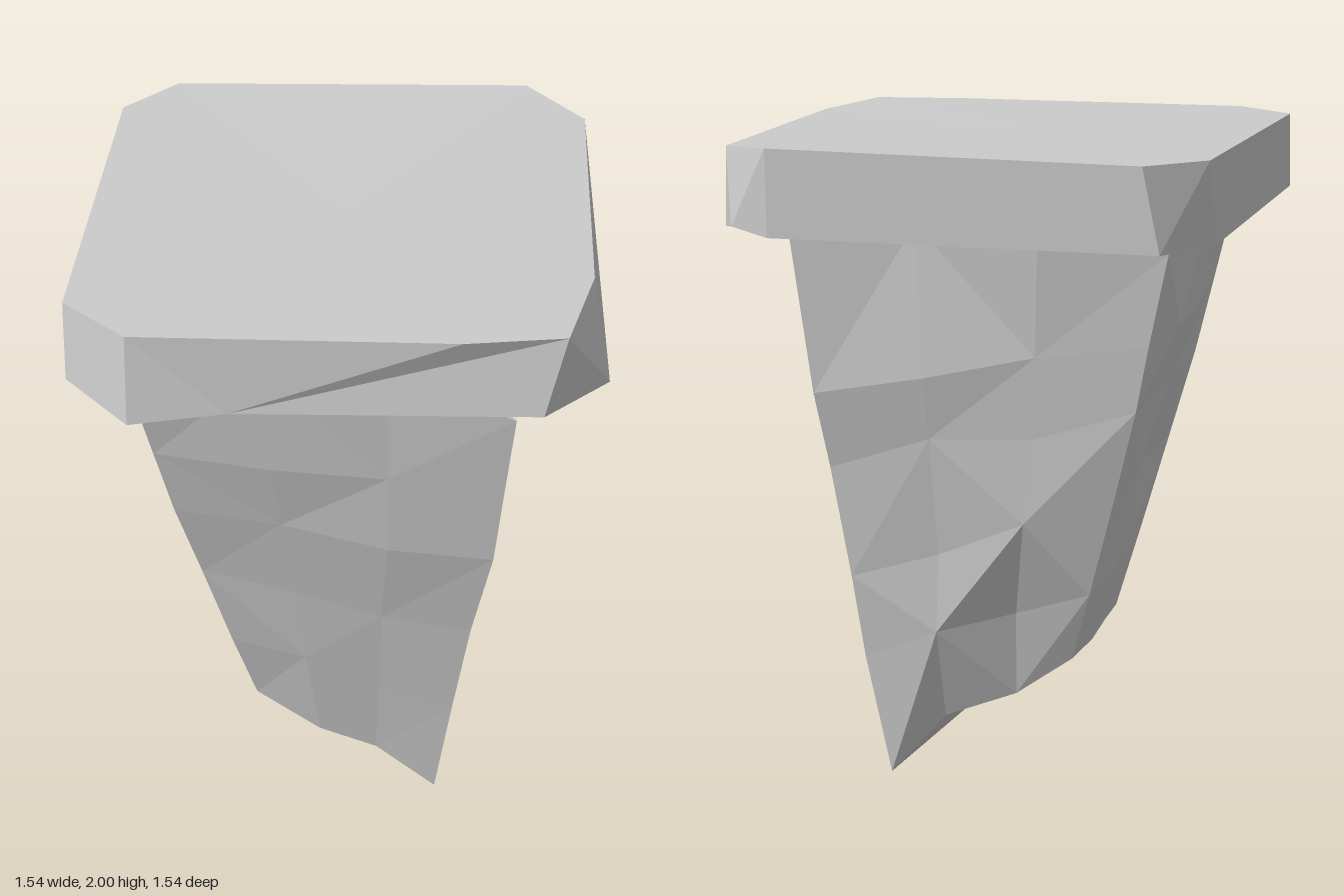
import * as THREE from 'three';

const material = new THREE.MeshStandardMaterial({ color: 0xcccccc, flatShading: true });

// Joins equal-length rings (bottom to top) and closes both ends around a centre point
function loft(rings, bottomCentre, topCentre) {
  const n = rings[0].length, pos = [], tri = (...pts) => pts.forEach(p => pos.push(...p));
  const last = rings[rings.length - 1];
  for (let i = 0; i < n; i++) {
    const j = (i + 1) % n;
    for (let r = 0; r < rings.length - 1; r++) {
      const a = rings[r][i], b = rings[r][j], c = rings[r + 1][j], d = rings[r + 1][i];
      // alternate the diagonal for irregular rock facets
      if ((i + r) % 2) { tri(a, b, c); tri(a, c, d); }
      else { tri(a, b, d); tri(b, c, d); }
    }
    tri(bottomCentre, rings[0][j], rings[0][i]);
    tri(topCentre, last[i], last[j]);
  }
  const geo = new THREE.BufferGeometry();
  geo.setAttribute('position', new THREE.Float32BufferAttribute(pos, 3));
  geo.computeVertexNormals();
  return geo;
}

function makeMesh(name, geo) {
  const mesh = new THREE.Mesh(geo, material);
  mesh.name = name;
  return mesh;
}

// Slab with unevenly chipped corners
function slab() {
  const bottom = [
    [0.58, 1.75, 0.73], [0.77, 1.735, 0.52], [0.73, 1.74, -0.58], [0.67, 1.76, -0.70], [0.54, 1.74, -0.76],
    [-0.61, 1.735, -0.76], [-0.73, 1.735, -0.53], [-0.77, 1.75, 0.59], [-0.58, 1.72, 0.77], [-0.3, 1.745, 0.74],
  ];
  const top = [
    [0.64, 1.985, 0.69], [0.72, 1.98, 0.36], [0.72, 1.98, -0.59], [0.63, 1.99, -0.68], [0.54, 2, -0.77],
    [-0.56, 1.985, -0.77], [-0.72, 1.985, -0.60], [-0.77, 1.985, 0.56], [-0.58, 1.985, 0.73], [0.35, 1.985, 0.73],
  ];
  return loft([bottom, top], [0, 1.745, 0], [0, 1.985, 0]);
}

// Tapering rock column, described by its four corner edges from bottom to top
function column() {
  const corners = [
    [[0.30, 0.03, 0.33], [0.35, 0.40, 0.38], [0.40, 0.75, 0.43], [0.46, 1.07, 0.49], [0.485, 1.35, 0.525], [0.51, 1.62, 0.56]],
    [[0.30, 0, -0.365], [0.37, 0.38, -0.40], [0.40, 0.65, -0.44], [0.45, 1.0, -0.48], [0.48, 1.24, -0.54], [0.54, 1.76, -0.58]],
    [[-0.26, 0.39, -0.29], [-0.33, 0.62, -0.37], [-0.42, 0.95, -0.43], [-0.49, 1.22, -0.48], [-0.53, 1.42, -0.50], [-0.59, 1.70, -0.52]],
    [[-0.27, 0.39, 0.31], [-0.34, 0.65, 0.37], [-0.42, 0.95, 0.42], [-0.49, 1.22, 0.48], [-0.54, 1.45, 0.52], [-0.60, 1.73, 0.57]],
  ];
  const normals = [[1, 0], [0, -1], [-1, 0], [0, 1]];
  const rough = [0.02, 0.04, 0.03, 0.02];
  let seed = 7;
  const noise = () => (seed = (seed * 16807) % 2147483647) / 1073741823.5 - 1;

  const rings = corners[0].map((_, level) => corners.flatMap((edge, side) => {
    const a = edge[level], b = corners[(side + 1) % 4][level];
    return [0, 1 / 3, 2 / 3].map(u => {
      const p = a.map((v, k) => v + (b[k] - v) * u);
      if (u > 0) {
        const push = noise() * rough[side];
        p[0] += normals[side][0] * push;
        p[2] += normals[side][1] * push;
        p[1] = level === 5 ? 1.76 : p[1] + noise() * 0.04;
      }
      return p;
    });
  }));
  // chipped lower rim
  rings[0][1] = [0.32, 0.045, 0.10];
  rings[0][2] = [0.33, 0.08, -0.19];
  rings[0][4] = [0.14, 0.18, -0.31];
  rings[0][5] = [-0.08, 0.26, -0.28];
  rings[0][10] = [-0.07, 0.26, 0.33];
  rings[0][11] = [0.11, 0.19, 0.33];
  return loft(rings, [0.05, 0.2, 0], [0, 1.76, 0]);
}

export function createModel() {
  const group = new THREE.Group();
  group.name = 'rockPillar';
  group.add(makeMesh('topSlab', slab()), makeMesh('rockColumn', column()));
  return group;
}
